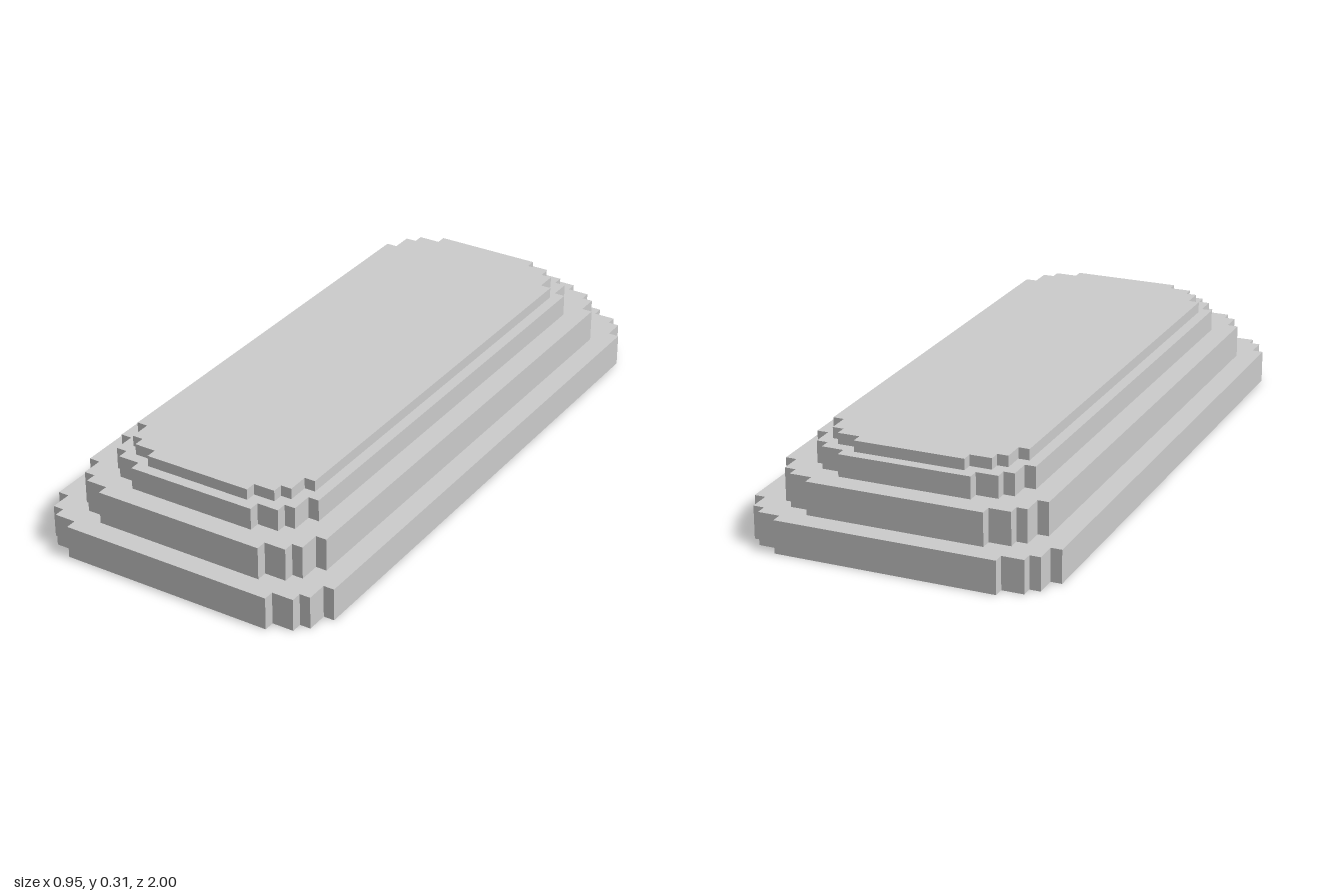
import * as THREE from 'three';

const U = 2 / 59; // one block unit

// Stepped-corner slab: half sizes and heights in block units
function tier(name, halfX, halfZ, y0, y1, material) {
  // one corner, as insets from the slab's outer rectangle
  const corner = [[0, 4], [1, 4], [1, 2], [2, 2], [2, 1], [4, 1], [4, 0]]
    .map(([dx, dz]) => [halfX - dx, halfZ - dz]);
  const back = [...corner].reverse();
  const outline = [
    ...corner,
    ...back.map(([x, z]) => [-x, z]),
    ...corner.map(([x, z]) => [-x, -z]),
    ...back.map(([x, z]) => [x, -z]),
  ].map(([x, z]) => new THREE.Vector2(x * U, z * U));

  const geometry = new THREE.ExtrudeGeometry(new THREE.Shape(outline), {
    depth: (y1 - y0) * U,
    bevelEnabled: false,
  });
  geometry.rotateX(-Math.PI / 2).translate(0, y0 * U, 0);
  const mesh = new THREE.Mesh(geometry, material);
  mesh.name = name;
  return mesh;
}

export function createModel() {
  const group = new THREE.Group();
  group.name = 'steppedPlatform';
  const material = new THREE.MeshStandardMaterial({ color: 0xcccccc, flatShading: true });

  // Four tiers, each set back from the one below
  group.add(
    tier('baseTier', 14, 29.5, 0, 3, material),
    tier('lowerTier', 12, 27.5, 3, 6, material),
    tier('upperTier', 10, 25.5, 6, 8, material),
    tier('topTier', 9, 24.5, 8, 9, material),
  );
  return group;
}
